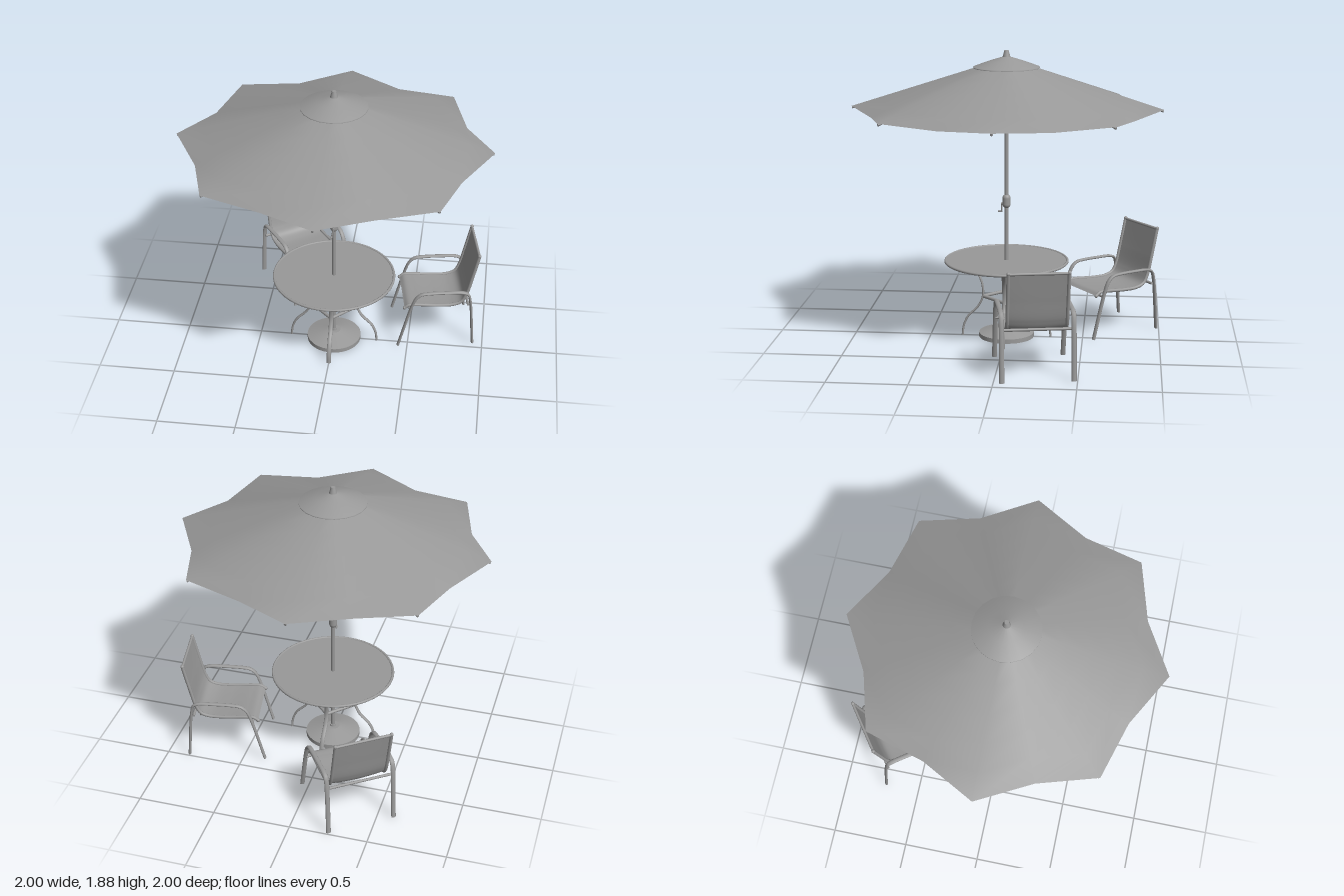
import * as THREE from 'three';
import { ParametricGeometry } from 'three/addons/geometries/ParametricGeometry.js';

const grey = new THREE.MeshStandardMaterial({ color: 0x999999 });
const greyThin = new THREE.MeshStandardMaterial({ color: 0x999999, side: THREE.DoubleSide });

const V = (x, y, z) => new THREE.Vector3(x, y, z);

function add(parent, name, geometry, material = grey) {
  const mesh = new THREE.Mesh(geometry, material);
  mesh.name = name;
  parent.add(mesh);
  return mesh;
}

// Straight round bar between two points
function bar(parent, name, a, b, r, sides = 10) {
  const mesh = add(parent, name, new THREE.CylinderGeometry(r, r, a.distanceTo(b), sides));
  mesh.position.copy(a).lerp(b, 0.5);
  mesh.quaternion.setFromUnitVectors(V(0, 1, 0), b.clone().sub(a).normalize());
}

// Upright drum or cone from y0 to y1
function drum(parent, name, bottomR, topR, y0, y1, sides = 20) {
  const mesh = add(parent, name, new THREE.CylinderGeometry(topR, bottomR, y1 - y0, sides));
  mesh.position.y = (y0 + y1) / 2;
}

const lathe = (pts, sides) =>
  new THREE.LatheGeometry(pts.map(([r, y]) => new THREE.Vector2(r, y)), sides);

// Curve in the y-z plane through [z, y] pairs
const sideCurve = (pts) => new THREE.CatmullRomCurve3(pts.map(([z, y]) => V(0, y, z)), false, 'centripetal');

// Tube in the y-z plane, widened sideways into a flat oval section
function flatTube(pts, r, widen) {
  return new THREE.TubeGeometry(sideCurve(pts), 48, r, 10).scale(widen, 1, 1);
}

// Fabric with eight points, dipping and drawn in between the ribs
function canopyGeometry() {
  const spokes = 16, rings = 6, pos = [], index = [];
  for (let i = 0; i <= rings; i++) {
    const t = 0.02 + 0.98 * i / rings;
    for (let j = 0; j < spokes; j++) {
      const a = j / spokes * Math.PI * 2;
      const r = j % 2 ? 0.88 : 1, rimY = j % 2 ? 1.49 : 1.512;
      pos.push(Math.sin(a) * r * t, 1.832 + (rimY - 1.832) * t, Math.cos(a) * r * t);
      if (i < rings) {
        const p = i * spokes + j, q = i * spokes + (j + 1) % spokes;
        index.push(p, p + spokes, q, q, p + spokes, q + spokes);
      }
    }
  }
  const g = new THREE.BufferGeometry();
  g.setAttribute('position', new THREE.Float32BufferAttribute(pos, 3));
  g.setIndex(index);
  g.computeVertexNormals();
  return g;
}

function createUmbrella() {
  const g = new THREE.Group();
  g.name = 'umbrella';
  add(g, 'canopy', canopyGeometry(), greyThin);
  add(g, 'canopyCap', lathe([[0.212, 1.768], [0.212, 1.775], [0.11, 1.812], [0.02, 1.84]], 20), greyThin);
  drum(g, 'finial', 0.026, 0.014, 1.833, 1.878);
  bar(g, 'pole', V(0, 0.02, 0), V(0, 1.82, 0), 0.013, 20);
  drum(g, 'upperHub', 0.022, 0.022, 1.765, 1.795);
  drum(g, 'runner', 0.022, 0.025, 1.525, 1.553);

  // Ribs to the points, struts from the runner
  for (let i = 0; i < 8; i++) {
    const a = i * Math.PI / 4;
    const at = (r, y) => V(Math.sin(a) * r, y, Math.cos(a) * r);
    bar(g, 'rib', at(0.02, 1.795), at(0.995, 1.503), 0.008, 8);
    bar(g, 'strut', at(0.02, 1.54), at(0.45, 1.665), 0.006, 8);
  }

  // Crank housing and handle
  add(g, 'crankHousing', new THREE.CapsuleGeometry(0.026, 0.04, 8, 20)).position.y = 0.905;
  bar(g, 'crankAxle', V(0, 0.89, 0), V(0, 0.89, 0.034), 0.007);
  bar(g, 'crankArm', V(0, 0.892, 0.032), V(-0.012, 0.835, 0.032), 0.005);
  bar(g, 'crankKnob', V(-0.012, 0.835, 0.028), V(-0.012, 0.835, 0.055), 0.006);

  // Weighted foot
  drum(g, 'baseRim', 0.18, 0.18, 0, 0.028, 40);
  drum(g, 'baseCone', 0.178, 0.045, 0.028, 0.064, 40);
  drum(g, 'baseCollar', 0.022, 0.02, 0.06, 0.075);
  return g;
}

function createTable() {
  const g = new THREE.Group();
  g.name = 'table';
  drum(g, 'tabletop', 0.396, 0.396, 0.508, 0.515, 56);
  // Raised rim
  const rim = add(g, 'tableRim', new THREE.TorusGeometry(0.396, 0.009, 10, 56));
  rim.rotation.x = Math.PI / 2;
  rim.position.y = 0.512;
  const legGeometry = flatTube([[0.385, 0.507], [0.29, 0.493], [0.21, 0.445], [0.165, 0.37], [0.155, 0.27],
    [0.185, 0.2], [0.255, 0.125], [0.283, 0.06], [0.29, 0]], 0.007, 2);
  for (let i = 0; i < 4; i++) {
    const a = i * Math.PI / 2;
    add(g, 'tableLeg', legGeometry).rotation.y = a;
    // Stretcher to the next leg
    const at = (t) => V(Math.sin(t) * 0.152, 0.266, Math.cos(t) * 0.152);
    bar(g, 'legStretcher', at(a), at(a + Math.PI / 2), 0.011);
  }
  return g;
}

// Chair facing +z, with the top of its back at z = 0
function createChair(x, z, yaw) {
  const g = new THREE.Group();
  g.name = 'chair';
  const profile = [[0, 0.675], [0.04, 0.5], [0.075, 0.365], [0.105, 0.315], [0.16, 0.294],
    [0.27, 0.292], [0.4, 0.302], [0.455, 0.3], [0.482, 0.28]];
  const curve = sideCurve(profile);
  const halfWidth = 0.18, armX = 0.217;

  // Fabric sling, slightly hollow across its width
  const slingGeometry = new ParametricGeometry((u, v, target) => {
    curve.getPoint(v, target);
    const sag = 0.008 * (1 - (2 * u - 1) ** 2) * Math.sin(Math.PI * v);
    target.set((2 * u - 1) * halfWidth, target.y - sag, target.z - sag);
  }, 10, 48);
  add(g, 'sling', slingGeometry, greyThin);

  const armPath = [[0.525, 0], [0.44, 0.31], [0.413, 0.375], [0.377, 0.407], [0.32, 0.415], [0.2, 0.417],
    [0.1, 0.414], [0.066, 0.4], [0.052, 0.36], [0.02, 0]];
  const railGeometry = new THREE.TubeGeometry(curve, 48, 0.011, 10);
  const armGeometry = flatTube(armPath, 0.009, 1.7);
  for (const s of [-1, 1]) {
    add(g, 'slingRail', railGeometry).position.x = s * halfWidth;
    add(g, 'armAndLegs', armGeometry).position.x = s * armX;
    // Rounded rail ends
    for (const [ez, ey] of [profile[0], profile[profile.length - 1]]) {
      add(g, 'railCap', new THREE.SphereGeometry(0.0125, 12, 8)).position.set(s * halfWidth, ey, ez);
    }
  }

  // Cross bars
  const across = (name, y, z, half, r) => bar(g, name, V(-half, y, z), V(half, y, z), r);
  across('topRail', 0.672, 0, halfWidth, 0.009);
  across('frontCrossBar', 0.278, 0.447, armX, 0.009);
  across('backCrossBar', 0.315, 0.062, armX, 0.009);

  g.position.set(x, 0, z);
  g.rotation.y = yaw;
  return g;
}

export function createModel() {
  const model = new THREE.Group();
  model.name = 'patioSet';
  model.add(
    createUmbrella(),
    createTable(),
    createChair(0.915, -0.27, Math.atan2(-0.98, 0.18)),
    createChair(-0.438, -0.873, Math.atan2(0.58, 0.81)),
  );
  return model;
}
